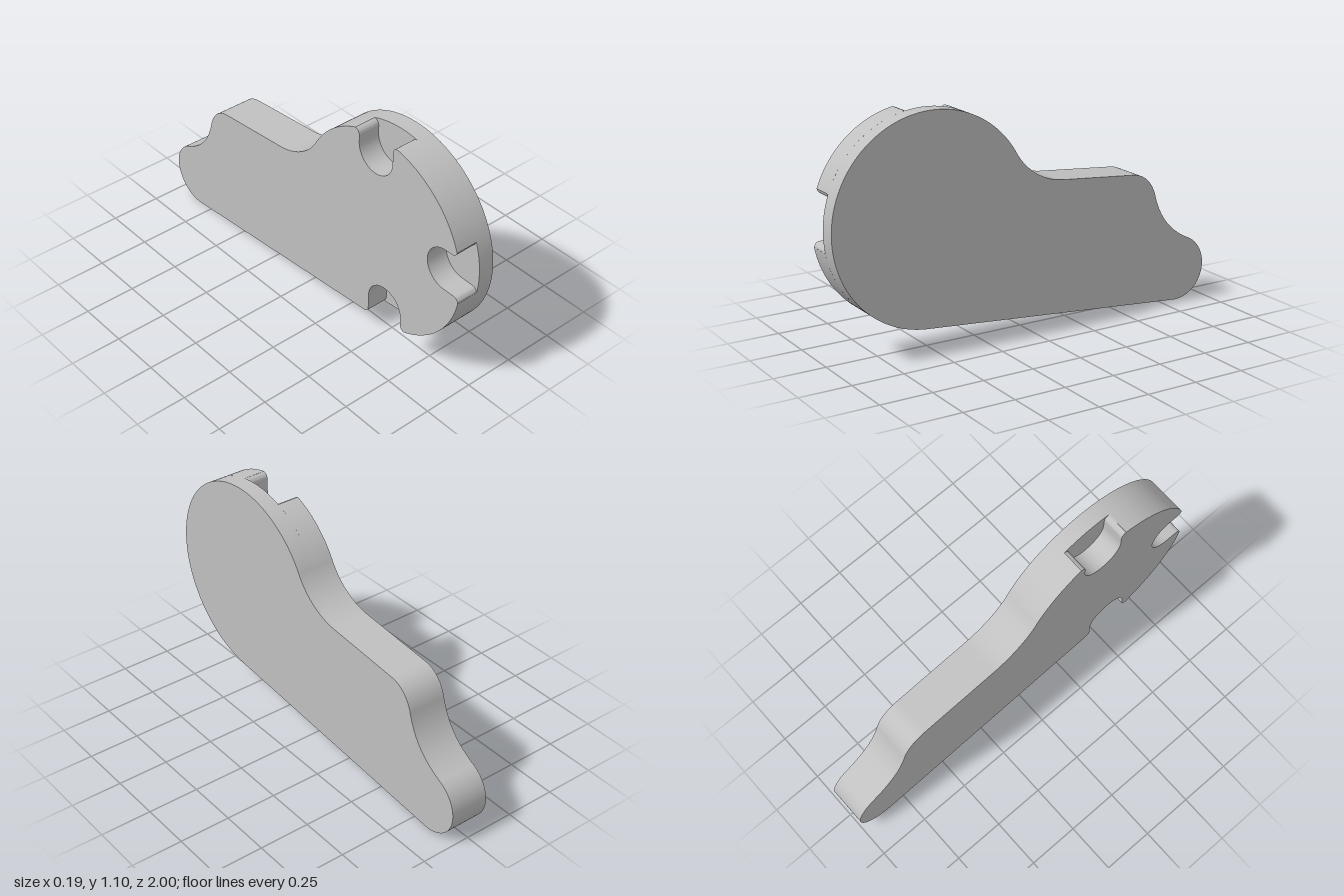
import * as THREE from 'three';
import { toCreasedNormals } from 'three/addons/utils/BufferGeometryUtils.js';

// Profile plane: u = -z, v = y. The head is a large disc, the tail tapers to +u.
const HEAD = { u: -0.505, v: 0.61, r: 0.495 };
const TAIL = { u: 0.84, v: 0.16, r: 0.16 };
const START = -1.651; // direction of the tangent underside
const NECK = 0.55; // angle where the head meets the neck

// Point in a notch frame: t along the rim, r outward from the head centre
function rimPoint(phi, t, r) {
  const c = Math.cos(phi), s = Math.sin(phi);
  return [HEAD.u + c * r - s * t, HEAD.v + s * r + c * t];
}

// Round-bottomed slot with softened lips
function addNotch(shape, phi, endR) {
  const p = (t, r) => rimPoint(phi, t, r);
  const mid = -0.04, w = 0.105, floorR = 0.4;
  shape.lineTo(...p(-0.17, 0.465));
  shape.quadraticCurveTo(...p(mid - w, 0.458), ...p(mid - w, 0.435));
  for (let i = 0; i <= 24; i++) {
    const a = Math.PI * (1 + i / 24);
    shape.lineTo(...p(mid + w * Math.cos(a), floorR + w * Math.sin(a)));
  }
  shape.lineTo(...p(mid + w, endR - 0.03));
  shape.quadraticCurveTo(...p(mid + w, endR - 0.003), ...p(0.09, endR));
}

function outline(notched) {
  const s = new THREE.Shape();
  if (notched) s.moveTo(...rimPoint(Math.PI * 1.5, 0.09, 0.503));
  else s.moveTo(HEAD.u + HEAD.r * Math.cos(START), HEAD.v + HEAD.r * Math.sin(START));

  // Underside, tail tip, stepped upper edge and neck
  s.absarc(TAIL.u, TAIL.v, TAIL.r, START, 1.13, false);
  s.bezierCurveTo(0.80, 0.355, 0.735, 0.43, 0.703, 0.545);
  s.bezierCurveTo(0.685, 0.61, 0.64, 0.66, 0.57, 0.665);
  s.lineTo(0.17, 0.70);
  s.bezierCurveTo(0.07, 0.71, -0.03, 0.77, -0.083, 0.869);

  // Head rim, interrupted by a notch each quarter turn on the notched layer
  const before = Math.atan2(0.17, 0.465), after = Math.atan2(0.09, 0.486);
  let from = NECK;
  if (notched) {
    for (let k = 1; k <= 3; k++) {
      const phi = k * Math.PI / 2;
      s.absarc(HEAD.u, HEAD.v, HEAD.r, from, phi - before, false);
      addNotch(s, phi, k === 3 ? 0.503 : 0.486);
      from = phi + after;
    }
  } else {
    s.absarc(HEAD.u, HEAD.v, HEAD.r, from, START + Math.PI * 2, false);
  }
  s.closePath();
  return s;
}

// Extrude a profile across x from x0 to x1
function layer(name, notched, x0, x1, material) {
  let g = new THREE.ExtrudeGeometry(outline(notched), {
    depth: x1 - x0, bevelEnabled: false, curveSegments: 40,
  });
  g.rotateY(Math.PI / 2);
  g.translate(x0, 0, 0);
  g = toCreasedNormals(g, 0.45);
  const mesh = new THREE.Mesh(g, material);
  mesh.name = name;
  return mesh;
}

export function createModel() {
  const grey = new THREE.MeshStandardMaterial({ color: 0xc0c0c0 });
  grey.name = 'light grey';
  const group = new THREE.Group();
  group.name = 'notchedCamPlate';
  group.add(layer('backingPlate', false, 0.015, 0.096, grey));
  group.add(layer('notchedPlate', true, -0.096, 0.015, grey));
  return group;
}
